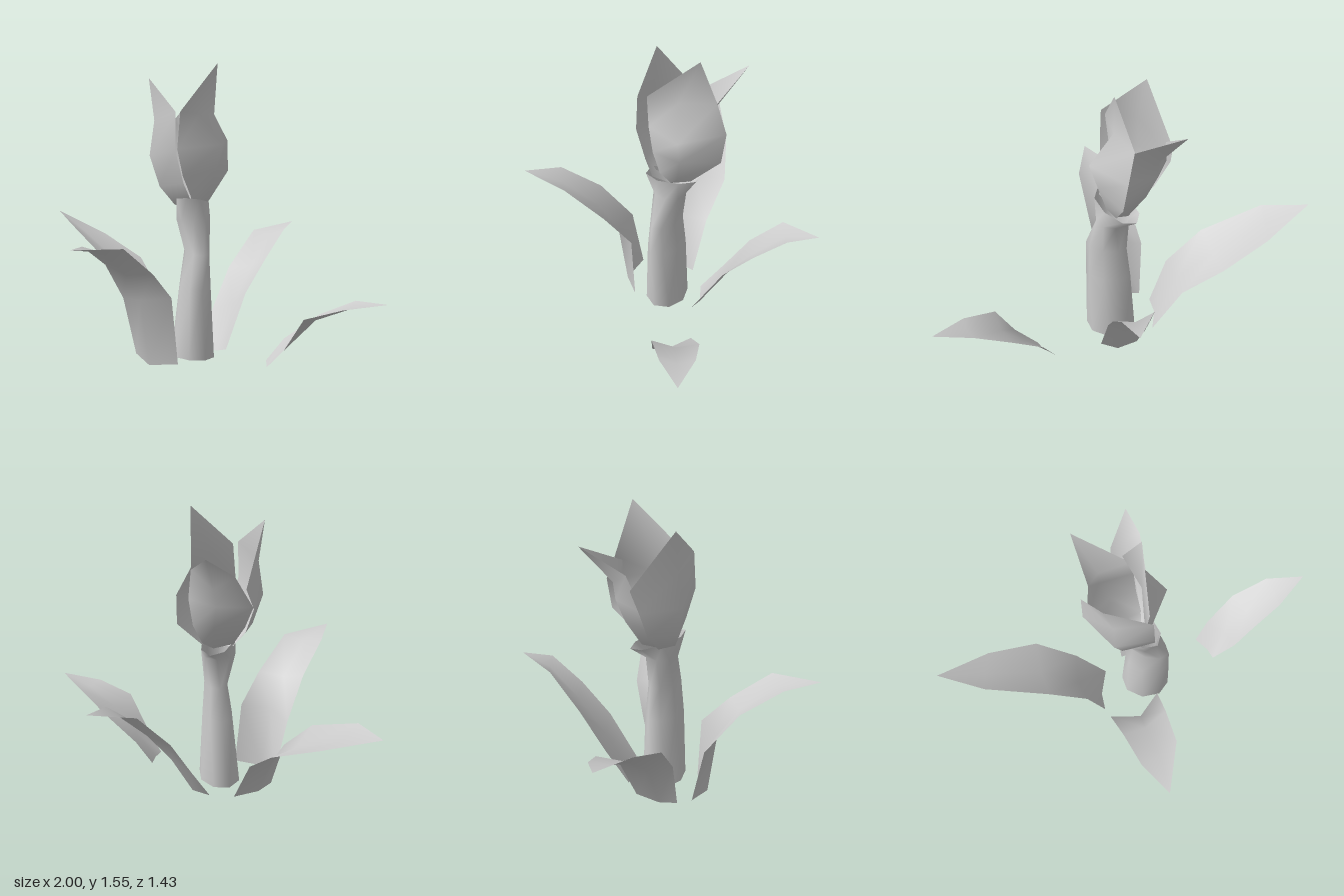
import * as THREE from 'three';

const grey = new THREE.MeshStandardMaterial({ color: 0xcccccc, side: THREE.DoubleSide });
grey.name = 'plain grey';

// Smooth surface over equal rows of points; closed joins the row ends, tip closes the last row
function loft(name, rows, { tip = null, closed = false } = {}) {
  const n = rows[0].length;
  const points = rows.flat();
  const index = [];
  const last = closed ? n : n - 1;
  for (let r = 0; r < rows.length - 1; r++) {
    for (let c = 0; c < last; c++) {
      const a = r * n + c, b = r * n + (c + 1) % n;
      index.push(a, b, b + n, a, b + n, a + n);
    }
  }
  if (tip) {
    const base = (rows.length - 1) * n;
    points.push(tip);
    for (let c = 0; c < n - 1; c++) index.push(base + c, base + c + 1, points.length - 1);
  }
  const g = new THREE.BufferGeometry();
  g.setAttribute('position', new THREE.Float32BufferAttribute(points.flat(), 3));
  g.setIndex(index);
  g.computeVertexNormals();
  const mesh = new THREE.Mesh(g, grey);
  mesh.name = name;
  return mesh;
}

// Petals all start from one point inside the collar
const heart = [-0.03, 0.79, -0.03];
const petalBase = [heart, heart, heart];

// Each row of a blade: one edge, midrib, other edge
const blades = {
  rightLeaf: {
    rows: [
      [[0.385, 0.01, 0.12], [0.39, 0.01, 0.06], [0.37, 0.02, -0.03]],
      [[0.5, 0.14, 0.165], [0.51, 0.14, 0.06], [0.46, 0.14, -0.045]],
      [[0.6, 0.31, 0.185], [0.64, 0.28, 0.07], [0.64, 0.28, -0.05]],
      [[0.79, 0.37, 0.18], [0.82, 0.36, 0.1], [0.83, 0.38, 0.01]],
    ],
    tip: [1, 0.4, 0.13],
  },
  frontLeaf: {
    rows: [
      [[-0.31, 0.03, 0.08], [-0.2, 0.01, 0.19], [-0.05, 0.02, 0.17]],
      [[-0.36, 0.34, 0.13], [-0.23, 0.36, 0.23], [-0.08, 0.37, 0.18]],
      [[-0.39, 0.55, 0.3], [-0.27, 0.51, 0.33], [-0.13, 0.52, 0.32]],
      [[-0.425, 0.68, 0.51], [-0.32, 0.66, 0.52], [-0.21, 0.68, 0.515]],
    ],
    tip: [-0.4, 0.7, 0.71],
  },
  leftLeaf: {
    rows: [
      [[-0.18, 0.02, -0.19], [-0.28, 0.02, -0.09], [-0.32, 0.03, 0]],
      [[-0.3, 0.28, -0.29], [-0.38, 0.27, -0.16], [-0.4, 0.3, -0.04]],
      [[-0.46, 0.44, -0.43], [-0.53, 0.43, -0.28], [-0.57, 0.49, -0.13]],
      [[-0.71, 0.56, -0.495], [-0.79, 0.58, -0.4], [-0.84, 0.64, -0.31]],
    ],
    tip: [-1, 0.68, -0.505],
  },
  backLeaf: {
    rows: [
      [[0.13, 0.03, -0.12], [0.06, 0, -0.18], [-0.05, 0.01, -0.21]],
      [[0.2, 0.31, -0.27], [0.12, 0.24, -0.31], [0, 0.2, -0.33]],
      [[0.28, 0.48, -0.41], [0.19, 0.43, -0.44], [0.06, 0.41, -0.45]],
      [[0.35, 0.62, -0.56], [0.27, 0.59, -0.58], [0.17, 0.605, -0.59]],
    ],
    tip: [0.37, 0.645, -0.72],
  },
  rightPetal: {
    rows: [
      petalBase,
      [[-0.02, 0.87, 0.03], [0.04, 0.86, -0.05], [0.03, 0.83, -0.12]],
      [[-0.055, 0.98, 0.06], [0.09, 1, -0.05], [0.1, 0.98, -0.26]],
      [[-0.08, 1.12, 0.075], [0.13, 1.14, -0.03], [0.09, 1.14, -0.285]],
      [[-0.06, 1.31, 0.085], [0, 1.29, -0.06], [0.025, 1.28, -0.25]],
    ],
    tip: [0.07, 1.55, -0.15],
  },
  leftPetal: {
    rows: [
      petalBase,
      [[-0.12, 0.82, -0.06], [-0.11, 0.83, 0.03], [-0.01, 0.86, 0.07]],
      [[-0.21, 0.93, -0.13], [-0.19, 0.92, 0.03], [-0.04, 0.95, 0.1]],
      [[-0.27, 1.08, -0.18], [-0.24, 1.08, 0.04], [-0.07, 1.12, 0.14]],
      [[-0.245, 1.19, -0.22], [-0.22, 1.26, 0.02], [-0.07, 1.31, 0.13]],
    ],
    tip: [-0.255, 1.475, 0],
  },
  backPetal: {
    rows: [
      petalBase,
      [[0.03, 0.83, -0.11], [-0.04, 0.82, -0.13], [-0.12, 0.83, -0.06]],
      [[0.05, 0.95, -0.18], [-0.08, 0.97, -0.22], [-0.2, 0.95, -0.11]],
      [[0.06, 1.1, -0.21], [-0.11, 1.1, -0.27], [-0.26, 1.08, -0.16]],
      [[0.045, 1.25, -0.21], [-0.1, 1.19, -0.28], [-0.19, 1.25, -0.23]],
    ],
    tip: [-0.13, 1.39, -0.445],
  },
};

// Stem rings: height, centre x, centre z, long radius, short radius, turn of the long axis, tilt
const stemRings = [
  [0.02, -0.025, -0.01, 0.135, 0.107, 0.8, 0.06],
  [0.4, -0.01, -0.005, 0.125, 0.08, 0.6, 0],
  [0.58, 0, -0.002, 0.112, 0.06, 0.6, 0],
  [0.75, -0.025, -0.025, 0.088, 0.088, 0.3, 0],
  [0.84, -0.035, -0.045, 0.147, 0.086, 0.08, 0.24],
];

function stem() {
  const rows = stemRings.map(([y, cx, cz, long, short, turn, tilt]) =>
    Array.from({ length: 8 }, (_, i) => {
      const a = (i / 8) * Math.PI * 2;
      const l = Math.cos(a) * long, s = Math.sin(a) * short;
      const z = Math.cos(turn) * l - Math.sin(turn) * s;
      return [cx + Math.sin(turn) * l + Math.cos(turn) * s, y + z * tilt, cz + z];
    }));
  return loft('stem', rows, { closed: true });
}

export function createModel() {
  const model = new THREE.Group();
  model.name = 'flower';
  model.add(stem());
  for (const [name, { rows, tip }] of Object.entries(blades)) model.add(loft(name, rows, { tip }));
  return model;
}
